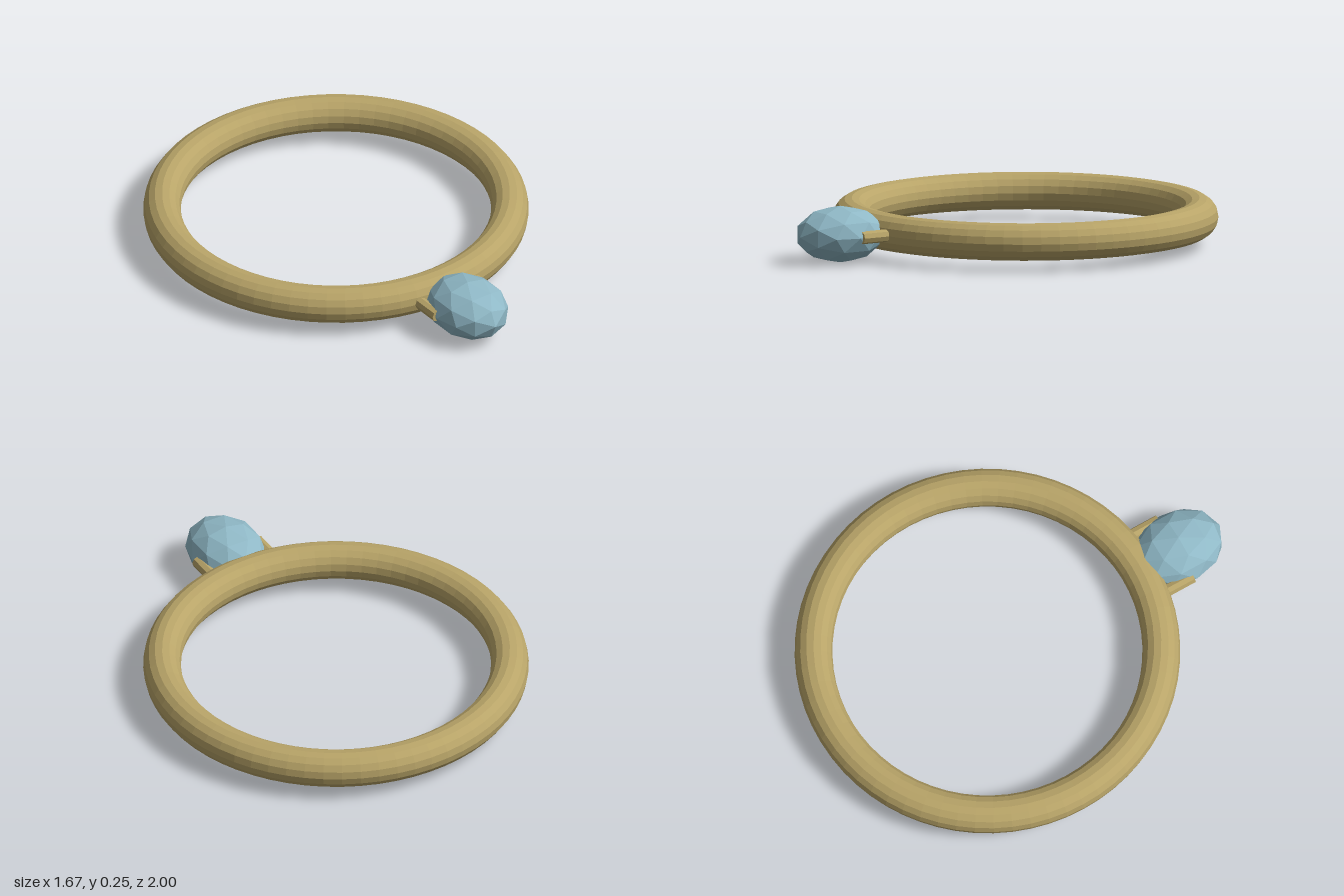
import * as THREE from 'three';

export function createModel() {
  const model = new THREE.Group();
  model.name = 'gemRing';
  const gold = new THREE.MeshStandardMaterial({ color: 0xb8a468, flatShading: true });
  const stone = new THREE.MeshStandardMaterial({ color: 0x8fb8c6, flatShading: true });
  const midY = 0.127;

  const add = (name, geometry, material, x, z) => {
    const mesh = new THREE.Mesh(geometry, material);
    mesh.name = name;
    mesh.position.set(x, midY, z);
    model.add(mesh);
    return mesh;
  };

  // Band lying flat
  add('band', new THREE.TorusGeometry(0.753, 0.082, 16, 64).rotateX(Math.PI / 2), gold, 0, -0.165);

  // Faceted stone, its back sunk into the band
  add('gem', new THREE.IcosahedronGeometry(0.165, 1).scale(1, 0.75, 1.25), stone, 0, 0.79);

  // A prong on each side of the stone
  for (const side of [-1, 1]) {
    const prong = new THREE.CylinderGeometry(0.028, 0.028, 0.175, 8).rotateX(Math.PI / 2);
    add(side > 0 ? 'leftProng' : 'rightProng', prong, gold, side * 0.148, 0.688);
  }

  return model;
}
